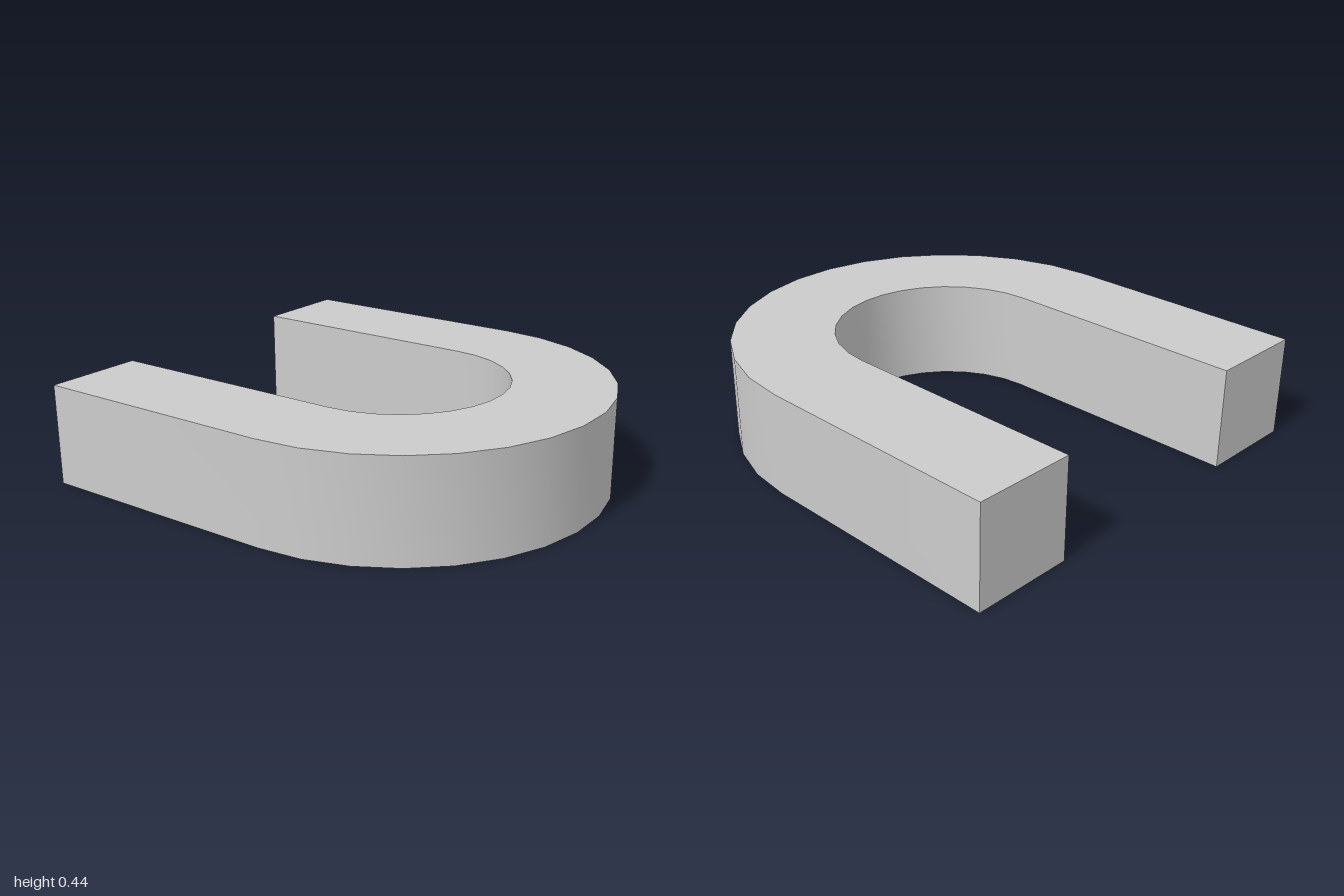
import * as THREE from 'three';
import { toCreasedNormals } from 'three/addons/utils/BufferGeometryUtils.js';

const OUTER = 0.914, INNER = 0.478; // bend radii
const HEIGHT = 0.436;
const BEND_Z = 0.091, BACK_Z = -1; // bend centre and arm ends
const SEGMENTS = 15;

// Half circle bulging to the front, from the left (+x) to the right
function bend(radius) {
  return Array.from({ length: SEGMENTS + 1 }, (_, i) => {
    const a = (i / SEGMENTS) * Math.PI;
    return new THREE.Vector2(radius * Math.cos(a), BEND_Z + radius * Math.sin(a));
  });
}

export function createModel() {
  const group = new THREE.Group();
  group.name = 'horseshoeBlock';

  // U outline in plan: outer side round, then back along the inner side
  const outline = new THREE.Shape([
    new THREE.Vector2(OUTER, BACK_Z),
    ...bend(OUTER),
    new THREE.Vector2(-OUTER, BACK_Z),
    new THREE.Vector2(-INNER, BACK_Z),
    ...bend(INNER).reverse(),
    new THREE.Vector2(INNER, BACK_Z),
  ]);

  // Extruded, laid flat; the bend is smooth and the rims stay sharp
  const geometry = new THREE.ExtrudeGeometry(outline, { depth: HEIGHT, bevelEnabled: false });
  geometry.rotateX(Math.PI / 2).translate(0, HEIGHT, 0);

  const body = new THREE.Mesh(
    toCreasedNormals(geometry, Math.PI / 6),
    new THREE.MeshStandardMaterial({ color: 0xcccccc }),
  );
  body.name = 'uShapedBar';
  group.add(body);
  return group;
}
